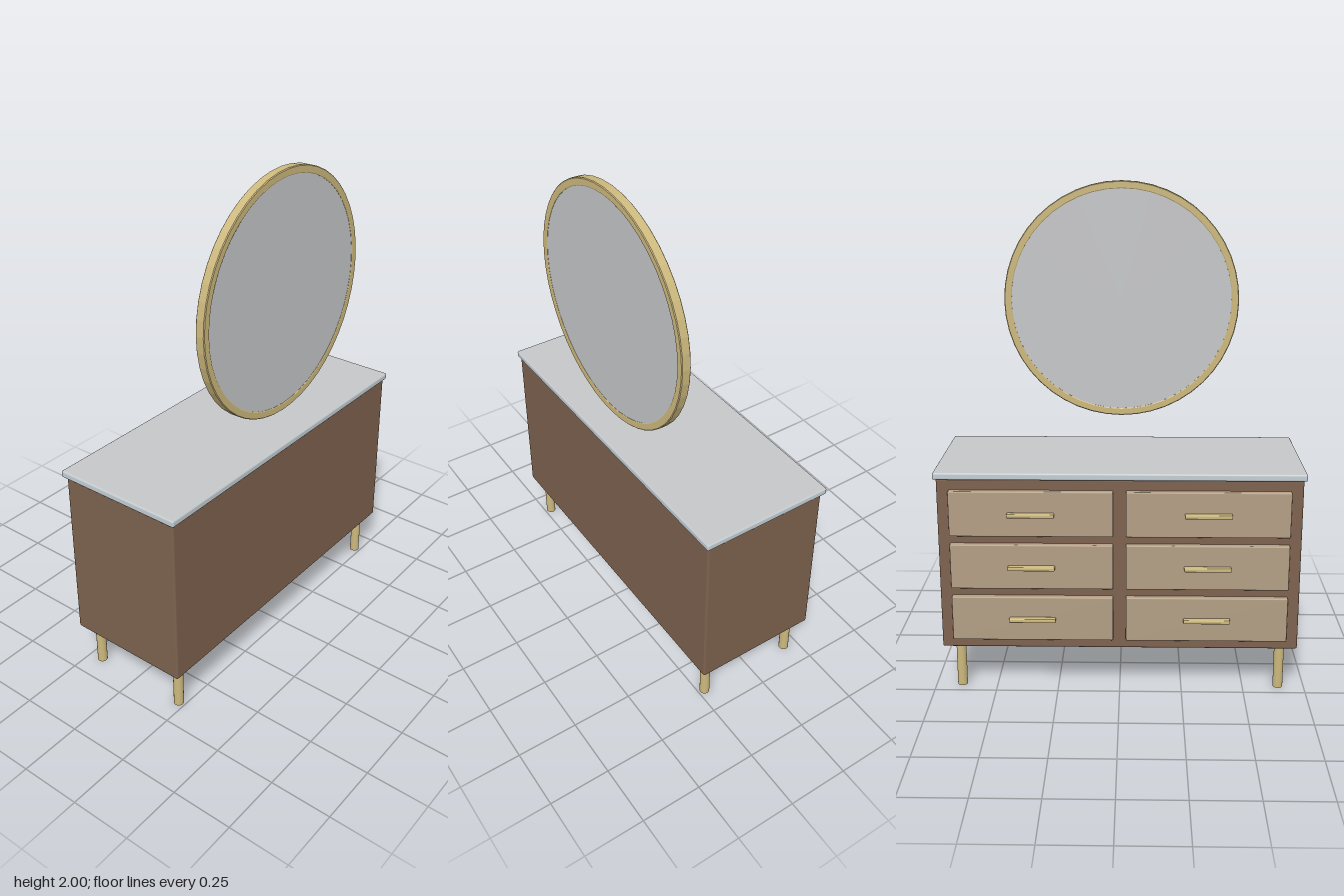
import * as THREE from 'three';
import { RoundedBoxGeometry } from 'three/addons/geometries/RoundedBoxGeometry.js';

const material = (name, color) => {
  const m = new THREE.MeshStandardMaterial({ color });
  m.name = name;
  return m;
};

export function createModel() {
  const group = new THREE.Group();
  const wood = material('brown wood', 0x7d624e);
  const drawerWood = material('light wood', 0xb39e84);
  const brass = material('brass', 0xcdb97e);
  const stone = material('grey stone', 0xc6c7c9);
  const stoneEdge = material('pale blue stone edge', 0xc3ced4);
  const glass = material('mirror glass', 0xc6c7c9);

  const add = (name, geometry, mat, x, y, z) => {
    const mesh = new THREE.Mesh(geometry, mat);
    mesh.name = name;
    mesh.position.set(x, y, z);
    group.add(mesh);
    return mesh;
  };

  // Cabinet and top slab
  add('cabinet', new RoundedBoxGeometry(1.42, 0.708, 0.52, 2, 0.008), wood, 0, 0.544, 0.016);
  add('topSlab', new RoundedBoxGeometry(1.44, 0.028, 0.548, 2, 0.007),
    [stoneEdge, stoneEdge, stone, stone, stoneEdge, stoneEdge], 0, 0.911, 0.012);

  // Two columns of three drawers, each with a bar handle
  const drawerGeometry = new RoundedBoxGeometry(0.638, 0.184, 0.03, 2, 0.005);
  const handleGeometry = new RoundedBoxGeometry(0.184, 0.016, 0.026, 2, 0.004);
  for (const x of [-0.344, 0.344]) {
    for (const y of [0.324, 0.543, 0.761]) {
      add('drawer', drawerGeometry, drawerWood, x, y, -0.252);
      add('handle', handleGeometry, brass, x, y, -0.278);
    }
  }

  // Legs
  const legGeometry = new THREE.CylinderGeometry(0.02, 0.02, 0.195, 16);
  for (const x of [-0.645, 0.645]) {
    for (const z of [-0.191, 0.222]) add('leg', legGeometry, brass, x, 0.0975, z);
  }

  // Round mirror: faceted ring with bevelled edges, glass on both sides
  const profile = [
    [0.45, -0.017], [0.453, -0.019], [0.477, -0.019], [0.48, -0.016],
    [0.48, 0.016], [0.477, 0.019], [0.453, 0.019], [0.45, 0.017], [0.45, -0.017],
  ].map(([r, h]) => new THREE.Vector2(r, h));
  const ring = new THREE.LatheGeometry(profile, 48).toNonIndexed();
  ring.computeVertexNormals();
  add('mirrorFrame', ring, brass, 0, 1.52, 0.221).rotation.x = Math.PI / 2;
  add('mirrorGlass', new THREE.CylinderGeometry(0.451, 0.451, 0.032, 48), glass, 0, 1.52, 0.221)
    .rotation.x = Math.PI / 2;

  return group;
}
